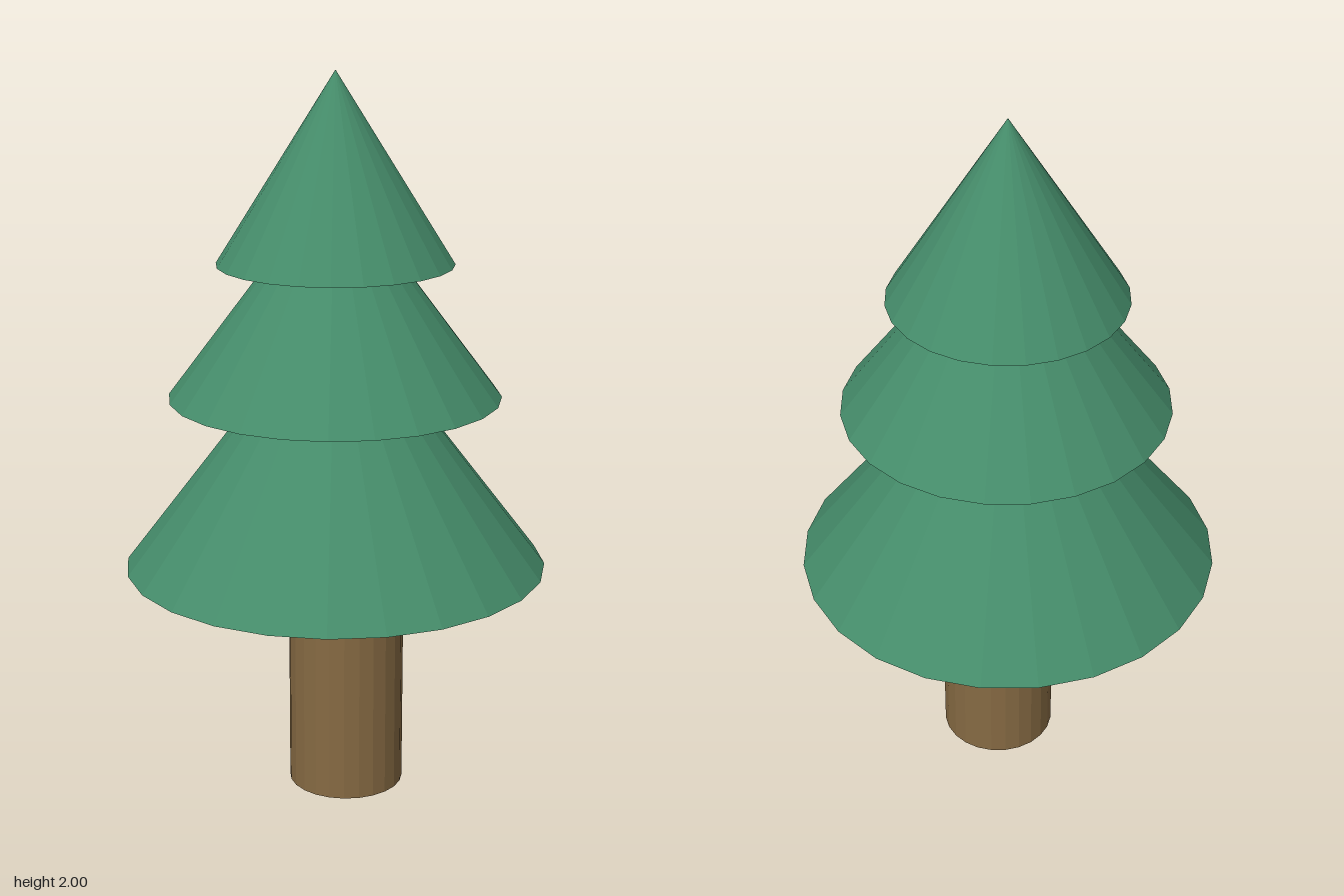
import * as THREE from 'three';

const SIDES = 24;

export function createModel() {
  const tree = new THREE.Group();
  tree.name = 'pineTree';

  const green = new THREE.MeshStandardMaterial({ color: 0x458c6a, flatShading: true });
  const brown = new THREE.MeshStandardMaterial({ color: 0x866a43, flatShading: true });

  // Trunk, slightly off-centre, its top tucked inside the lowest tier
  const trunkHeight = 0.7;
  const trunk = new THREE.Mesh(
    new THREE.CylinderGeometry(0.16, 0.16, trunkHeight, SIDES), brown);
  trunk.name = 'trunk';
  trunk.position.set(0.03, trunkHeight / 2, 0);
  tree.add(trunk);

  // Three overlapping foliage cones, each closed underneath
  const tiers = [
    { name: 'lowerFoliage', radius: 0.58, base: 0.65, height: 0.76, z: 0 },
    { name: 'middleFoliage', radius: 0.45, base: 1.135, height: 0.6, z: 0.03 },
    { name: 'upperFoliage', radius: 0.32, base: 1.49, height: 0.51, z: 0 },
  ];
  for (const { name, radius, base, height, z } of tiers) {
    const tier = new THREE.Mesh(new THREE.ConeGeometry(radius, height, SIDES), green);
    tier.name = name;
    tier.position.set(0, base + height / 2, z);
    tree.add(tier);
  }

  return tree;
}
